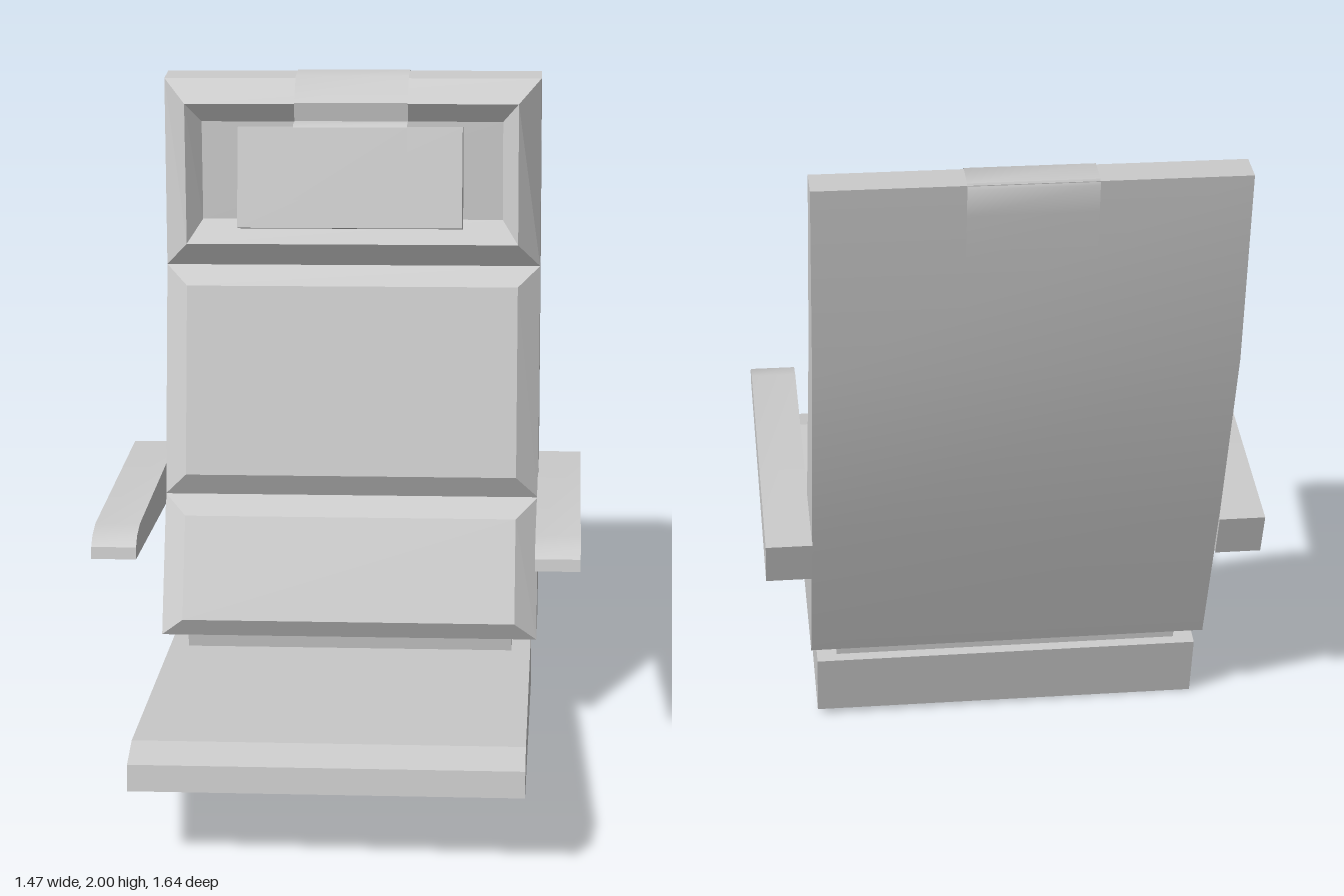
import * as THREE from 'three';
import { toCreasedNormals } from 'three/addons/utils/BufferGeometryUtils.js';

const material = new THREE.MeshStandardMaterial({ color: 0xcccccc });
const doubleSided = new THREE.MeshStandardMaterial({ color: 0xcccccc, side: THREE.DoubleSide });

function part(name, geometry, mat = material) {
  const mesh = new THREE.Mesh(geometry, mat);
  mesh.name = name;
  return mesh;
}

// Side profile given as [z, y] points, extruded across x from x0 to x1
function slab(profile, x0, x1, crease = 0.3) {
  const shape = new THREE.Shape(profile.map(([z, y]) => new THREE.Vector2(z, y)));
  const g = new THREE.ExtrudeGeometry(shape, { depth: x1 - x0, bevelEnabled: false });
  g.rotateY(-Math.PI / 2).translate(x1, 0, 0);
  return toCreasedNormals(g, crease);
}

// Padded panel lofted through rectangular rings: half width, bottom [z, y], top [z, y]
function cushion(rings) {
  const corners = rings.map(([w, [zb, yb], [zt, yt]]) =>
    [[-w, yb, zb], [w, yb, zb], [w, yt, zt], [-w, yt, zt]]);
  const pos = [];
  const quad = (a, b, c, d) => pos.push(...a, ...b, ...c, ...a, ...c, ...d);
  for (let r = 0; r < corners.length - 1; r++) {
    for (let i = 0; i < 4; i++) {
      const j = (i + 1) % 4;
      quad(corners[r][i], corners[r][j], corners[r + 1][j], corners[r + 1][i]);
    }
  }
  quad(...corners[corners.length - 1]);
  const g = new THREE.BufferGeometry();
  g.setAttribute('position', new THREE.Float32BufferAttribute(pos, 3));
  g.computeVertexNormals();
  return g;
}

// Thin band following a [z, y] path
function band(path, halfWidth) {
  const g = new THREE.PlaneGeometry(1, 1, 1, path.length - 1);
  const p = g.attributes.position;
  path.forEach(([z, y], i) => {
    p.setXYZ(2 * i, -halfWidth, y, z);
    p.setXYZ(2 * i + 1, halfWidth, y, z);
  });
  g.computeVertexNormals();
  return toCreasedNormals(g, 0.7);
}

export function createModel() {
  const group = new THREE.Group();
  group.name = 'reclinerChair';

  // Wedge seat with a softened front edge
  group.add(part('seat', slab(
    [[0.82, 0.24], [0.8, 0.316], [0.69, 0.341], [-0.48, 0.212], [-0.45, 0.01]], -0.58, 0.58)));

  // Block joining the seat to the back
  group.add(part('backConnector', slab(
    [[-0.2, 0.32], [-0.2, 0.2], [-0.45, 0.18], [-0.45, 0.32]], -0.52, 0.52)));

  // Curved back shell
  group.add(part('backShell', slab([
    [-0.16, 0.3], [-0.38, 0.7], [-0.62, 1.4], [-0.715, 1.99],
    [-0.815, 1.99], [-0.785, 1.4], [-0.64, 0.77], [-0.5, 0.27],
  ], -0.6, 0.6)));

  // Three padded sections; the top one has a shallow recess for the headrest
  const lower = [[0.6, [-0.16, 0.3], [-0.38, 0.7]], [0.53, [-0.14, 0.36], [-0.3, 0.655]]];
  const middle = [[0.6, [-0.38, 0.7], [-0.62, 1.4]], [0.53, [-0.355, 0.775], [-0.55, 1.35]]];
  const upper = [
    [0.6, [-0.62, 1.4], [-0.715, 1.99]],
    [0.53, [-0.582, 1.48], [-0.64, 1.925]],
    [0.48, [-0.63, 1.55], [-0.672, 1.86]],
  ];
  group.add(part('lowerBackCushion', cushion(lower)));
  group.add(part('middleBackCushion', cushion(middle)));
  group.add(part('upperBackCushion', cushion(upper)));

  // Wedge headrest hung from a strap over the top
  group.add(part('headrest', slab(
    [[-0.585, 1.865], [-0.48, 1.565], [-0.59, 1.53], [-0.665, 1.845]], -0.355, 0.355)));
  group.add(part('headrestStrap', band([
    [-0.808, 1.75], [-0.819, 1.9], [-0.82, 1.98], [-0.81, 1.995], [-0.72, 1.996],
    [-0.635, 1.93], [-0.637, 1.87], [-0.6, 1.872], [-0.58, 1.865], [-0.505, 1.65],
  ], 0.18), doubleSided));

  // Armrests, levelled against the slight lean of the chair
  for (const side of [-1, 1]) {
    const arm = part(side > 0 ? 'leftArmrest' : 'rightArmrest', slab([
      [0.328, 0.755], [0.318, 0.79], [0.285, 0.815], [0.22, 0.827],
      [-0.655, 0.765], [-0.62, 0.625],
    ], -0.068, 0.068, 0.6));
    arm.position.set(side * 0.667, -side * 0.011, 0);
    group.add(arm);
  }

  // The chair leans very slightly to one side
  group.rotation.z = 0.0167;
  group.position.x = 0.015;
  const model = new THREE.Group();
  model.name = 'chair';
  model.add(group);
  return model;
}
